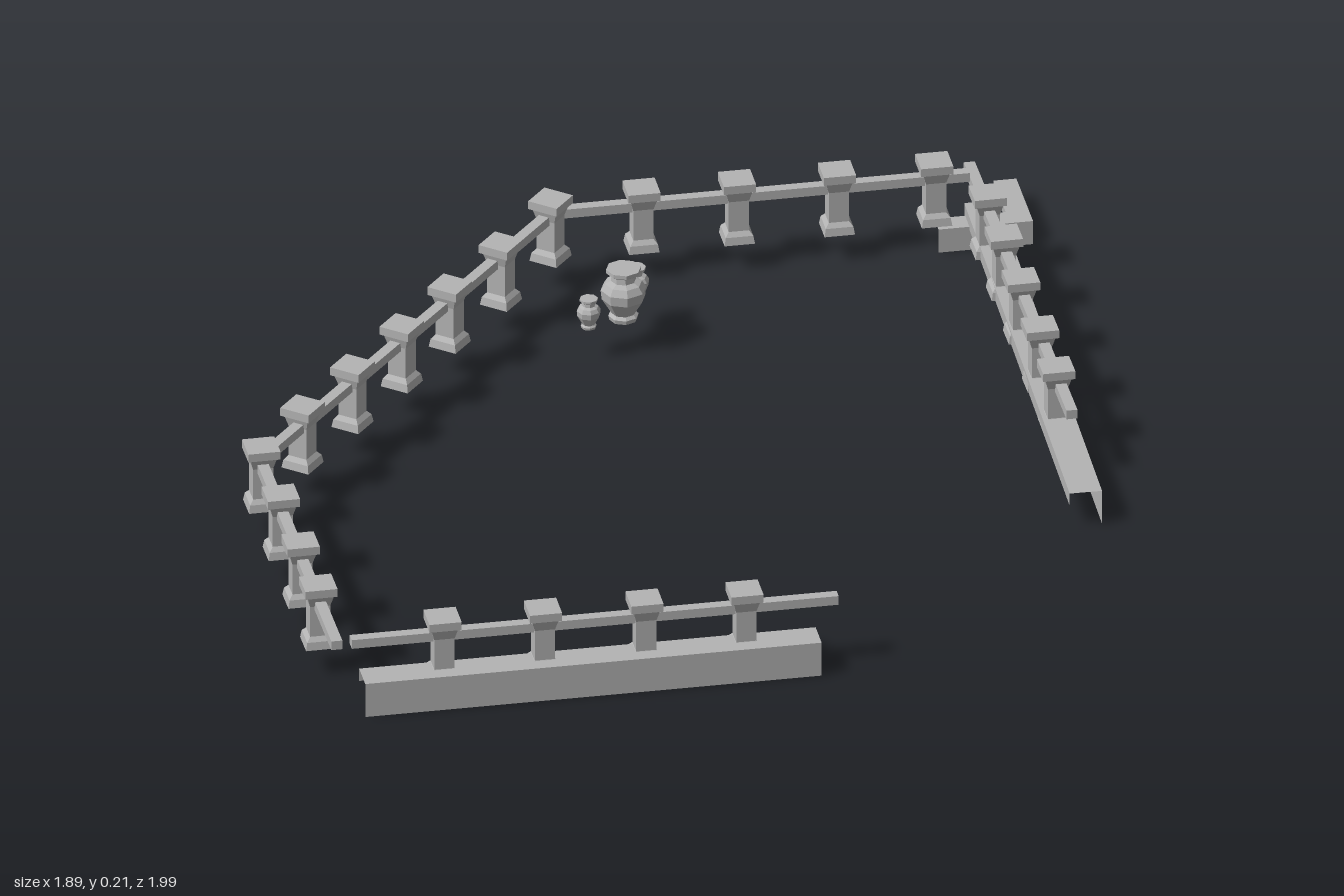
import * as THREE from 'three';

const stone = new THREE.MeshStandardMaterial({ color: 0xb4b4b4, flatShading: true, side: THREE.DoubleSide });
stone.name = 'grey stone';

// Square post outline: half width, height
const POST = [[0, 0], [0.033, 0], [0.03, 0.018], [0.022, 0.028], [0.022, 0.1], [0.028, 0.122], [0.035, 0.126], [0.035, 0.145], [0, 0.145]];
const postGeometry = new THREE.LatheGeometry(
  POST.map(([w, y]) => new THREE.Vector2(w * Math.SQRT2, y)), 4, Math.PI / 4);

// Jar outline: radius, height (unit sized)
const JAR = [[0, 0], [0.26, 0], [0.28, 0.08], [0.22, 0.13], [0.4, 0.42], [0.42, 0.6], [0.34, 0.72], [0.23, 0.77], [0.22, 0.87], [0.32, 0.93], [0.32, 1], [0, 1]];
const jarGeometry = new THREE.LatheGeometry(JAR.map(([r, y]) => new THREE.Vector2(r, y)), 8);

function add(parent, geometry, name, x = 0, y = 0, z = 0) {
  const mesh = new THREE.Mesh(geometry, stone);
  mesh.name = name;
  mesh.position.set(x, y, z);
  parent.add(mesh);
  return mesh;
}

// One straight run: a rail between two points and posts at given places
function balustrade(parent, name, from, to, posts, base) {
  const run = new THREE.Group();
  run.name = name;
  const dx = to[0] - from[0], dz = to[1] - from[1];
  const angle = Math.atan2(-dz, dx);
  const rail = add(run, new THREE.BoxGeometry(Math.hypot(dx, dz), 0.021, 0.024), 'rail',
    (from[0] + to[0]) / 2, base + 0.102, (from[1] + to[1]) / 2);
  rail.rotation.y = angle;
  for (const [x, z] of posts) add(run, postGeometry, 'post', x, base, z).rotation.y = angle;
  parent.add(run);
}

// Open kerb: outer face, top and a short inner lip, outer face towards local +z
function kerb(parent, name, length, width, height, lip, x, z, angle) {
  const g = new THREE.Group();
  g.name = name;
  add(g, new THREE.PlaneGeometry(length, height), 'outerFace', 0, height / 2, width / 2);
  add(g, new THREE.PlaneGeometry(length, width).rotateX(-Math.PI / 2), 'topFace', 0, height, 0);
  add(g, new THREE.PlaneGeometry(length, lip).rotateY(Math.PI), 'innerLip', 0, height - lip / 2, -width / 2);
  g.position.set(x, 0, z);
  g.rotation.y = angle;
  parent.add(g);
}

export function createModel() {
  const model = new THREE.Group();
  model.name = 'courtyardBalustrade';

  // Balustrade runs
  balustrade(model, 'backBalustrade', [-0.1, -0.836], [0.81, -0.836],
    [0.1, 0.307, 0.524, 0.735].map(x => [x, -0.836]), 0.065);
  balustrade(model, 'diagonalBalustrade', [-0.91, 0.13], [-0.1, -0.825],
    [[-0.1, -0.822], [-0.24, -0.65], [-0.382, -0.487], [-0.515, -0.333], [-0.652, -0.175], [-0.79, -0.018]], 0.065);
  balustrade(model, 'sideBalustrade', [-0.911, 0.13], [-0.902, 0.968],
    [[-0.91, 0.143], [-0.908, 0.357], [-0.906, 0.573], [-0.904, 0.765]], 0.065);
  balustrade(model, 'frontBalustrade', [-0.866, 0.937], [0.19, 0.937],
    [-0.667, -0.449, -0.229, -0.012].map(x => [x, 0.937]), 0.053);
  balustrade(model, 'leftBalustrade', [0.832, 0.23], [0.822, -0.895],
    [-0.698, -0.513, -0.317, -0.1, 0.085].map(z => [0.825, z]), 0.053);

  // Kerbs under the front and left runs, and the low corner step
  kerb(model, 'frontKerb', 0.99, 0.07, 0.08, 0.03, -0.35, 0.957, 0);
  kerb(model, 'leftKerb', 1.31, 0.07, 0.08, 0.03, 0.832, -0.215, Math.PI / 2 - 0.0145);
  kerb(model, 'cornerStepFront', 0.205, 0.05, 0.056, 0.02, 0.8415, -0.833, 0);
  kerb(model, 'cornerStepSide', 0.192, 0.05, 0.056, 0.02, 0.919, -0.904, Math.PI / 2);

  // Jars: position, width scale, height
  for (const [x, z, width, height] of [[0, -0.515, 0.118, 0.122], [0.04, -0.595, 0.074, 0.078], [-0.08, -0.49, 0.062, 0.07]])
    add(model, jarGeometry, 'jar', x, 0.073, z).scale.set(width, height, width);

  return model;
}
